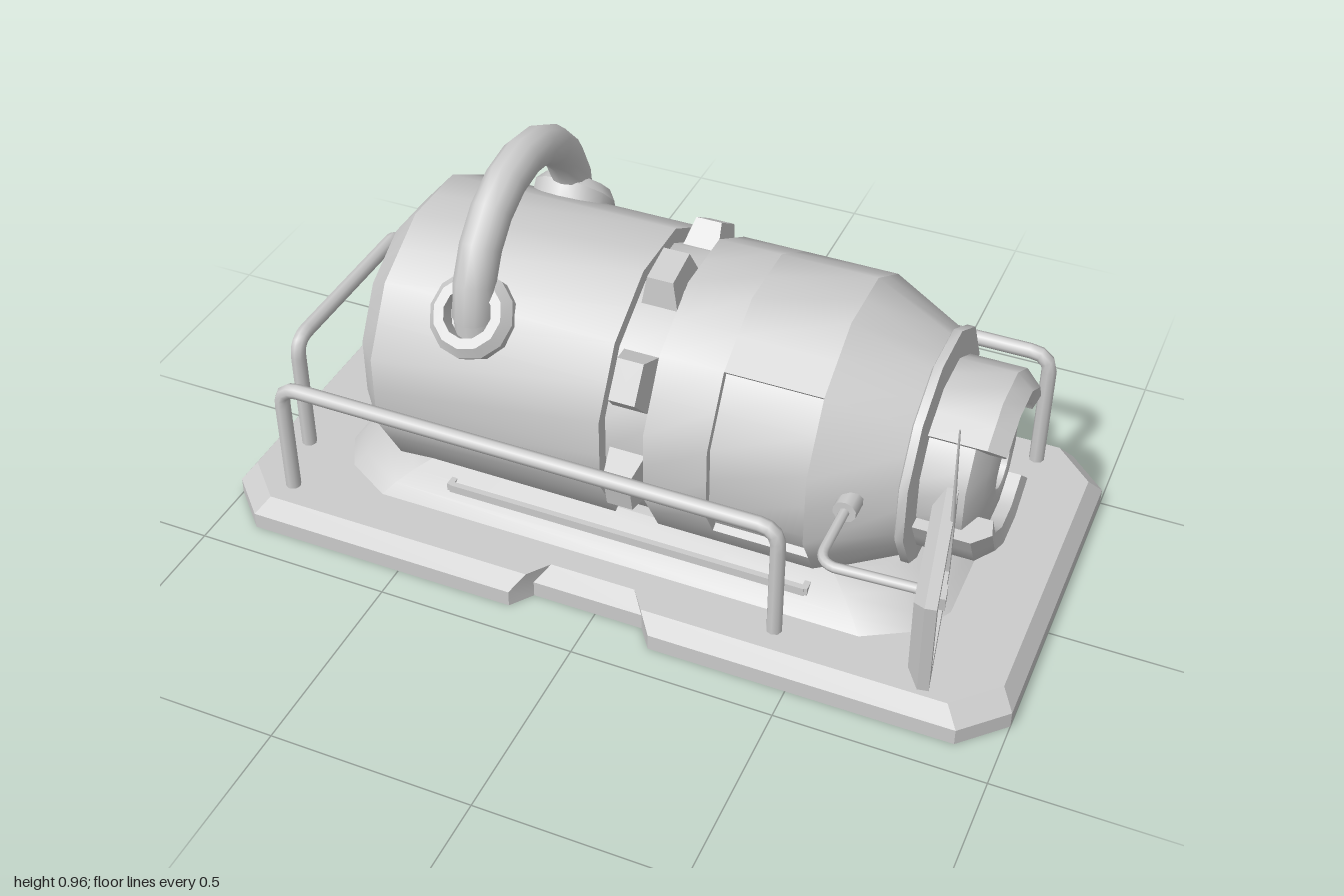
import * as THREE from 'three';
import { mergeGeometries, toCreasedNormals } from 'three/addons/utils/BufferGeometryUtils.js';

const mat = new THREE.MeshStandardMaterial({ color: 0xcccccc });
const matDouble = new THREE.MeshStandardMaterial({ color: 0xcccccc, side: THREE.DoubleSide });
const rad = THREE.MathUtils.degToRad;
const CZ = -0.09; // depth of the drum axis
const V = (x, y, z) => new THREE.Vector3(x, y, z);
const V2 = (p) => new THREE.Vector2(p[0], p[1]);

function add(parent, name, geo, m = mat) {
  const mesh = new THREE.Mesh(geo, m);
  mesh.name = name;
  parent.add(mesh);
  return mesh;
}

// Push circular vertices out to a flat-topped 12-gon, then lay the axis along x
function facet(geo) {
  const p = geo.attributes.position;
  const step = Math.PI / 6;
  for (let i = 0; i < p.count; i++) {
    const a = Math.atan2(p.getX(i), p.getZ(i));
    const k = 1 / Math.cos(a - Math.round(a / step) * step);
    p.setX(i, p.getX(i) * k);
    p.setZ(i, p.getZ(i) * k);
  }
  geo.rotateZ(-Math.PI / 2);
  return toCreasedNormals(geo, 0.56);
}

// Full turned body; profile points are [radius, x]
const turned = (profile) => facet(new THREE.LatheGeometry(profile.map(V2), 24));

// Closed part-turn; angles in degrees from front (+z) towards up
function sector(profile, a0, a1) {
  const pts = profile.map(V2);
  const geos = [new THREE.LatheGeometry([...pts, pts[0]], (a1 - a0) / 15, rad(-a1), rad(a1 - a0))];
  for (const a of [a0, a1]) {
    geos.push(new THREE.ShapeGeometry(new THREE.Shape(pts)).rotateY(rad(-a - 90)));
  }
  return facet(mergeGeometries(geos));
}

// Slab whose sides step inwards with height: insets[i] belongs to level i
function slab(outline, height, insets) {
  const n = insets.length - 1;
  const geo = new THREE.ExtrudeGeometry(new THREE.Shape(outline.map(V2)), { depth: height, steps: n, bevelEnabled: false });
  const p = geo.attributes.position;
  for (let i = 0; i < p.count; i++) {
    const d = insets[Math.round(p.getZ(i) / height * n)];
    p.setX(i, p.getX(i) - Math.sign(p.getX(i)) * d);
    p.setY(i, p.getY(i) - Math.sign(p.getY(i)) * d);
  }
  geo.rotateX(-Math.PI / 2);
  return toCreasedNormals(geo, 0.5);
}

// Hoop rail between two floor points with rounded upper corners
function rail(a, b, top) {
  const r = 0.05;
  const dir = b.clone().sub(a).normalize().multiplyScalar(r);
  const up = (p, y) => V(p.x, y, p.z);
  const path = new THREE.CurvePath();
  const a1 = up(a, top - r), a2 = up(a, top).add(dir), b2 = up(b, top).sub(dir), b1 = up(b, top - r);
  path.add(new THREE.LineCurve3(a, a1));
  path.add(new THREE.QuadraticBezierCurve3(a1, up(a, top), a2));
  path.add(new THREE.LineCurve3(a2, b2));
  path.add(new THREE.QuadraticBezierCurve3(b2, up(b, top), b1));
  path.add(new THREE.LineCurve3(b1, b));
  return new THREE.TubeGeometry(path, 90, 0.019, 8);
}

export function createModel() {
  const model = new THREE.Group();

  // Base plate with clipped corners and a notch in each long side
  const base = [[-0.9, -0.51], [-0.2, -0.51], [-0.16, -0.455], [0.12, -0.455], [0.16, -0.51], [0.9, -0.51], [1, -0.41],
    [1, 0.41], [0.9, 0.51], [0.16, 0.51], [0.12, 0.455], [-0.16, 0.455], [-0.2, 0.51], [-0.9, 0.51], [-1, 0.41], [-1, -0.41]];
  add(model, 'basePlate', slab(base, 0.085, [0, 0, 0.032])).position.z = CZ;

  // Sloped pedestal under the drum
  const c = [[0.79, 0.2], [0.74, 0.29], [0.62, 0.36]];
  const rev = [...c].reverse();
  const foot = [...c, ...rev.map(([x, y]) => [-x, y]), ...c.map(([x, y]) => [-x, -y]), ...rev.map(([x, y]) => [x, -y])];
  add(model, 'pedestal', slab(foot, 0.08, [0, 0.025, 0.06, 0.105])).position.set(0, 0.085, CZ);
  const tray = new THREE.Group();
  tray.name = 'sideTray';
  model.add(tray);
  for (const [w, d, x, z] of [[0.92, 0.015, 0.01, 0.225], [0.015, 0.09, -0.45, 0.185], [0.015, 0.09, 0.47, 0.185]]) {
    add(tray, 'trayEdge', new THREE.BoxGeometry(w, 0.05, d)).position.set(x, 0.118, z);
  }

  // Drum, all turned about one axis
  const drum = new THREE.Group();
  drum.name = 'drum';
  drum.position.set(0, 0.4, CZ);
  model.add(drum);
  add(drum, 'rearDrum', turned([[0, -0.6], [0.1, -0.6], [0.11, -0.68], [0.165, -0.68], [0.185, -0.65], [0.24, -0.65],
    [0.27, -0.69], [0.35, -0.62], [0.35, -0.03], [0.315, -0.03], [0.315, 0.08]]));
  add(drum, 'frontDrum', turned([[0.315, 0.08], [0.35, 0.08], [0.35, 0.235], [0.33, 0.235], [0.33, 0.47], [0.35, 0.47],
    [0.262, 0.655], [0.275, 0.66], [0.275, 0.68], [0.2, 0.685]]));
  add(drum, 'drumCover', sector([[0.32, 0.235], [0.35, 0.235], [0.35, 0.47], [0.32, 0.47]], 45, 330), matDouble);
  add(drum, 'rearAccessPanel', sector([[0.34, -0.55], [0.356, -0.55], [0.356, -0.18], [0.34, -0.18]], 180, 225), matDouble);

  // Nose with central socket and two shroud segments
  const nose = new THREE.Group();
  nose.name = 'nose';
  nose.position.y = -0.012;
  drum.add(nose);
  add(nose, 'noseCore', turned([[0.195, 0.67], [0.195, 0.79], [0.14, 0.82], [0.072, 0.83], [0.058, 0.825], [0.058, 0.77], [0, 0.77]]));
  const shroud = [[0.15, 0.68], [0.222, 0.68], [0.222, 0.82], [0.188, 0.86], [0.15, 0.85]];
  add(nose, 'upperShroud', sector(shroud, 45, 150), matDouble);
  add(nose, 'lowerShroud', sector(shroud, -135, -15), matDouble);

  // Bevelled clamp blocks around the central groove
  const block = new THREE.CylinderGeometry(0.7, 1, 1, 4, 1).rotateY(Math.PI / 4);
  block.scale(0.092 / Math.SQRT2, 0.08, 0.14 / Math.SQRT2);
  const blockGeo = toCreasedNormals(block, 0.3);
  for (let i = 0; i < 8; i++) {
    const arm = new THREE.Group();
    arm.name = 'clamp';
    arm.rotation.x = rad(12 + i * 45);
    drum.add(arm);
    add(arm, 'clampBlock', blockGeo).position.set(0.025, 0.34, 0);
  }

  // Lifting handle and its collars
  const handle = new THREE.Group();
  handle.name = 'liftingHandle';
  handle.position.set(-0.38, 0.64, CZ);
  model.add(handle);
  add(handle, 'handleArch', new THREE.TorusGeometry(0.27, 0.05, 12, 10, Math.PI).rotateY(Math.PI / 2));
  const collar = new THREE.LatheGeometry([[0.06, -0.05], [0.1, -0.05], [0.105, 0.01], [0.085, 0.035], [0.06, 0.035], [0.06, -0.05]].map(V2), 12);
  const collarGeo = toCreasedNormals(collar, 0.56);
  for (const s of [-1, 1]) {
    add(handle, 'handleLeg', new THREE.CylinderGeometry(0.05, 0.05, 0.12, 12)).position.set(0, -0.05, s * 0.262);
    const ring = add(handle, 'handleCollar', collarGeo, matDouble);
    ring.position.set(0, 0.005, s * 0.275);
    ring.rotation.x = s * rad(48);
  }

  // Guard rails
  add(model, 'frontRail', rail(V(-0.84, 0.06, 0.325), V(0.435, 0.06, 0.325), 0.392));
  add(model, 'backRail', rail(V(-0.805, 0.06, -0.505), V(0.825, 0.06, -0.505), 0.41));
  add(model, 'endRail', rail(V(-0.89, 0.06, -0.35), V(-0.89, 0.06, 0.165), 0.405));

  // Jointed arm carrying the display
  const armPath = new THREE.CurvePath();
  armPath.add(new THREE.LineCurve3(V(0.56, 0.43, 0.18), V(0.56, 0.43, 0.38)));
  armPath.add(new THREE.QuadraticBezierCurve3(V(0.56, 0.43, 0.38), V(0.56, 0.43, 0.425), V(0.6, 0.43, 0.43)));
  armPath.add(new THREE.LineCurve3(V(0.6, 0.43, 0.43), V(0.8, 0.44, 0.43)));
  add(model, 'displayArm', new THREE.TubeGeometry(armPath, 40, 0.012, 8));
  add(model, 'armSocket', new THREE.CylinderGeometry(0.028, 0.028, 0.06, 10).rotateX(Math.PI / 2)).position.set(0.56, 0.43, 0.225);

  // Display: built facing +z, then turned to face +x
  const display = new THREE.Group();
  display.name = 'display';
  display.position.set(0.812, 0.443, 0.42);
  display.rotation.set(rad(7), rad(90 + 10), 0, 'YXZ');
  display.rotation.set(0, rad(90 + 10), rad(7), 'YXZ');
  model.add(display);
  const frame = new THREE.Shape([[-0.167, -0.133], [0.167, -0.133], [0.167, 0.133], [-0.167, 0.133]].map(V2));
  frame.holes.push(new THREE.Path([[-0.135, -0.1], [-0.135, 0.1], [0.135, 0.1], [0.135, -0.1]].map(V2)));
  add(display, 'displayFrame', new THREE.ExtrudeGeometry(frame, { depth: 0.025, bevelEnabled: false }));
  add(display, 'displayScreen', new THREE.BoxGeometry(0.28, 0.21, 0.01)).position.z = 0.008;
  const shell = new THREE.CylinderGeometry(1, 0.8, 0.025, 4, 1).rotateY(Math.PI / 4).rotateX(Math.PI / 2);
  shell.scale(0.334 / Math.SQRT2, 0.266 / Math.SQRT2, 1);
  add(display, 'displayBack', toCreasedNormals(shell, 0.3)).position.z = -0.0125;
  add(display, 'displayTab', new THREE.BoxGeometry(0.04, 0.035, 0.02)).position.set(-0.088, 0.082, 0.027);

  // Thin whip antenna
  const whip = add(model, 'antenna', new THREE.CylinderGeometry(0.002, 0.005, 0.28, 6));
  whip.position.set(0.825, 0.71, 0.37);
  whip.rotation.x = rad(6);

  return model;
}
